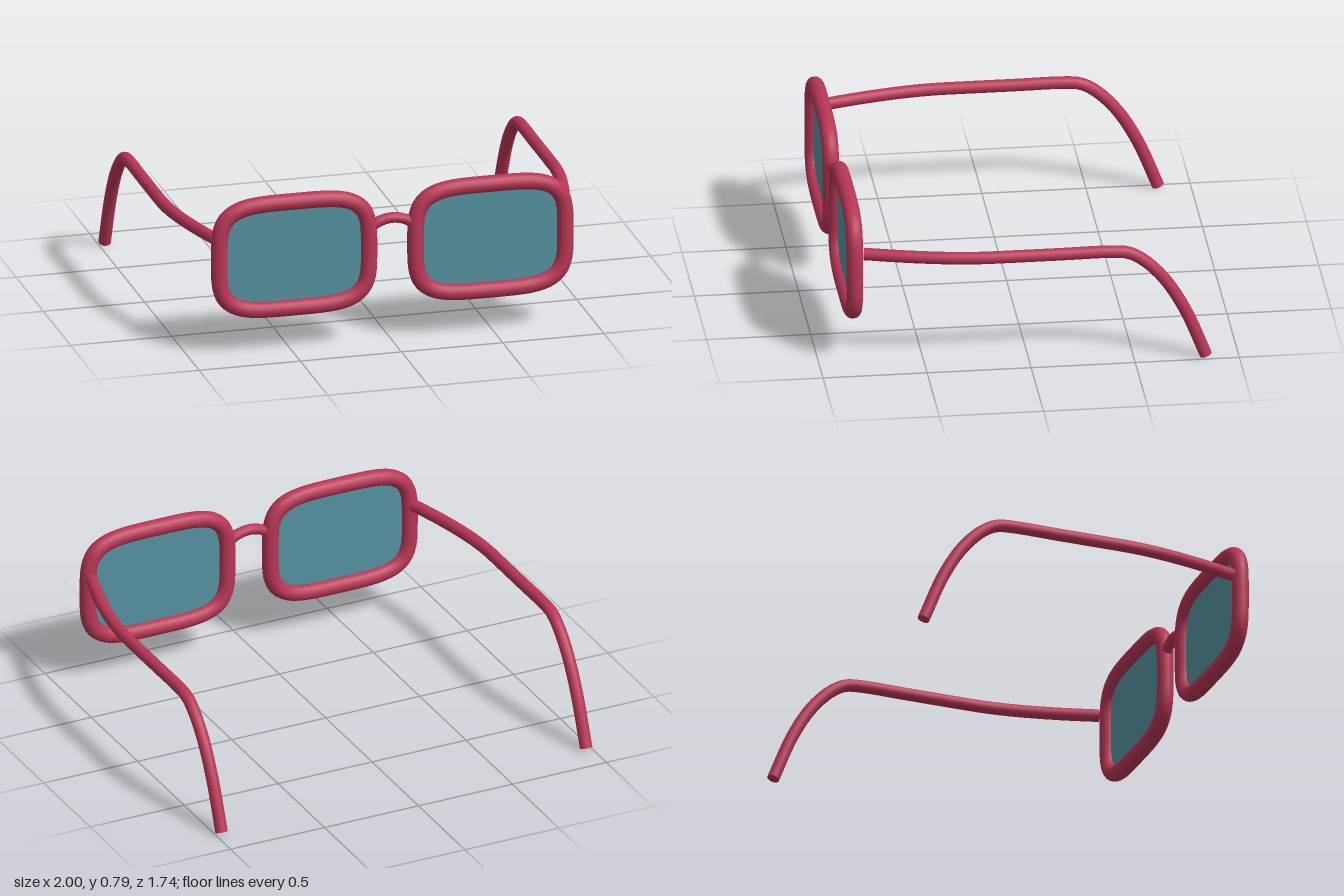
import * as THREE from 'three';

const frameRed = new THREE.MeshStandardMaterial({ color: 0xb83655 });
frameRed.name = 'frame red';
const lensTeal = new THREE.MeshStandardMaterial({ color: 0x55909f, side: THREE.DoubleSide });
lensTeal.name = 'lens teal';

const FRONT_Z = 0.83;

function mesh(name, geometry, material, parent) {
  const m = new THREE.Mesh(geometry, material);
  m.name = name;
  parent.add(m);
  return m;
}

// Rounded rectangle outline (superellipse) sampled by angle
function outline(halfW, halfH, count) {
  const points = [];
  for (let i = 0; i < count; i++) {
    const t = (i / count) * Math.PI * 2;
    const c = Math.cos(t), s = Math.sin(t);
    const r = 1 / Math.pow(c ** 4 + s ** 4, 0.25);
    points.push(new THREE.Vector3(halfW * r * c, halfH * r * s, 0));
  }
  return points;
}

// Disc closing the end of a rod, facing along dir
function endCap(name, point, dir, radius, parent) {
  const cap = mesh(name, new THREE.CircleGeometry(radius, 16), frameRed, parent);
  cap.position.copy(point);
  cap.quaternion.setFromUnitVectors(new THREE.Vector3(0, 0, 1), dir);
}

export function createModel() {
  const glasses = new THREE.Group();
  glasses.name = 'glasses';

  for (const [side, label] of [[1, 'left'], [-1, 'right']]) {
    // Rim and lens
    const eye = new THREE.Group();
    eye.name = label + 'Eyepiece';
    eye.position.set(side * 0.485, 0.482, FRONT_Z);
    glasses.add(eye);
    const path = new THREE.CatmullRomCurve3(outline(0.37, 0.268, 48), true);
    mesh(label + 'Rim', new THREE.TubeGeometry(path, 96, 0.04, 16, true), frameRed, eye);
    const lens = new THREE.Shape(outline(0.365, 0.263, 64).map((p) => new THREE.Vector2(p.x, p.y)));
    mesh(label + 'Lens', new THREE.ShapeGeometry(lens), lensTeal, eye);

    // Temple arm: bows outward, runs straight back, hooks down behind the ear
    const arm = new THREE.Group();
    arm.name = label + 'Temple';
    glasses.add(arm);
    const curve = new THREE.CatmullRomCurve3([
      [0.857, 0.575, 0.785], [0.908, 0.575, 0.6], [0.95, 0.575, 0.4],
      [0.968, 0.575, 0.24], [0.97, 0.575, 0.1], [0.97, 0.575, -0.15],
      [0.97, 0.575, -0.4], [0.97, 0.566, -0.47], [0.97, 0.527, -0.54],
      [0.97, 0.425, -0.64], [0.97, 0.26, -0.74], [0.97, 0.012, -0.843],
    ].map(([x, y, z]) => new THREE.Vector3(side * x, y, z)));
    mesh(label + 'TempleRod', new THREE.TubeGeometry(curve, 64, 0.03, 16), frameRed, arm);
    endCap(label + 'TempleFrontEnd', curve.getPoint(0), curve.getTangent(0).negate(), 0.03, arm);
    endCap(label + 'TempleTip', curve.getPoint(1), curve.getTangent(1), 0.03, arm);
  }

  // Arched nose bridge
  const arch = new THREE.CatmullRomCurve3([
    [-0.13, 0.56], [-0.075, 0.605], [0, 0.623], [0.075, 0.605], [0.13, 0.56],
  ].map(([x, y]) => new THREE.Vector3(x, y, FRONT_Z)));
  mesh('bridge', new THREE.TubeGeometry(arch, 24, 0.026, 12), frameRed, glasses);

  return glasses;
}
